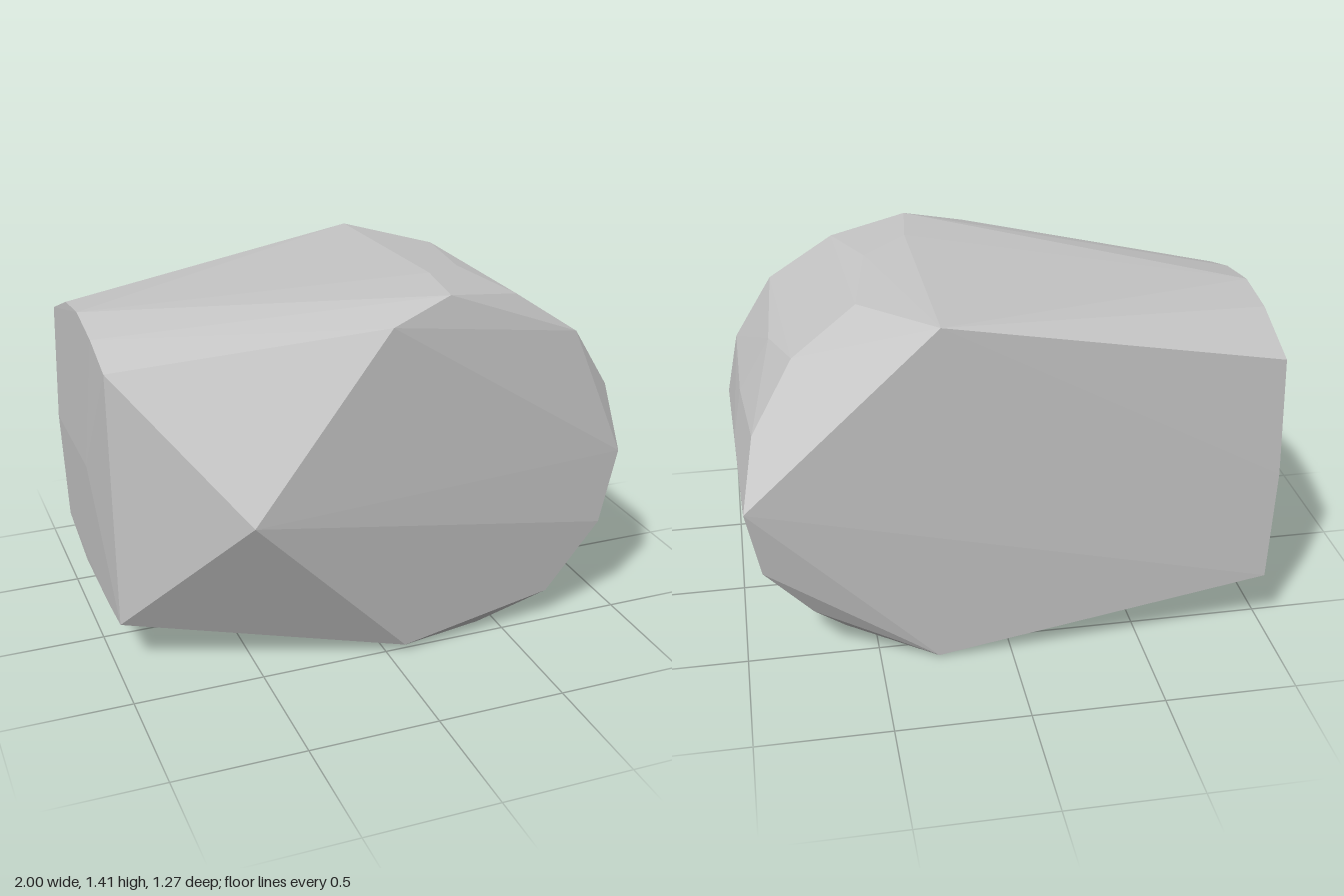
import * as THREE from 'three';
import { ConvexGeometry } from 'three/addons/geometries/ConvexGeometry.js';

export function createModel() {
  const group = new THREE.Group();
  group.name = 'boulder';
  const stone = new THREE.MeshStandardMaterial({ color: 0xc4c4c4 });
  stone.name = 'grey stone';

  // Corners of the faceted stone, grouped by side
  const front = [
    [-0.56, 0.7, 0.635], [-0.98, 1.2, 0.25], [-0.98, 0.19, 0.25],
    [0, 1.34, 0.53], [0.07, 0.03, 0.525], [0.7, 0.12, 0.48],
    [0.92, 0.39, 0.48], [1, 0.68, 0.46],
  ];
  const back = [
    [0.26, 1.39, -0.63], [0.97, 0.72, -0.625], [-0.985, 1.17, -0.63],
    [-1, 0.7, -0.635], [-0.985, 0.25, -0.63], [0.28, 0.01, -0.6],
    [0.74, 0.22, -0.53], [0.92, 0.44, -0.58],
  ];
  const flatEnd = [
    [-0.98, 1.27, -0.38], [-0.98, 1.295, -0.17], [-0.98, 1.26, 0.05],
    [-0.98, 0.17, -0.34], [-0.98, 0.175, 0.05], [-1, 0.7, -0.1],
  ];
  const top = [
    [0.25, 1.41, 0.46], [0.28, 1.415, 0.2], [0.45, 1.39, 0.08],
    [0.55, 1.36, 0.39], [0.52, 1.365, -0.32],
  ];
  const roundEnd = [
    [0.8, 1.19, 0.415], [0.76, 1.2, -0.38], [0.83, 1.15, -0.08],
    [0.95, 0.95, 0.405], [0.92, 0.95, -0.47], [0.95, 0.93, -0.05],
    [0.985, 0.77, -0.13], [0.99, 0.63, 0.2], [0.975, 0.62, -0.4],
    [0.95, 0.47, -0.05], [0.92, 0.39, 0.2], [0.87, 0.33, -0.36],
    [0.85, 0.25, 0.35],
  ];
  const underside = [[0.43, 0, 0.42], [0.62, 0.1, -0.47]];

  const corners = [front, back, flatEnd, top, roundEnd, underside]
    .flat()
    .map((p) => new THREE.Vector3(...p));
  const mesh = new THREE.Mesh(new ConvexGeometry(corners), stone);
  mesh.name = 'rock';
  group.add(mesh);
  return group;
}
